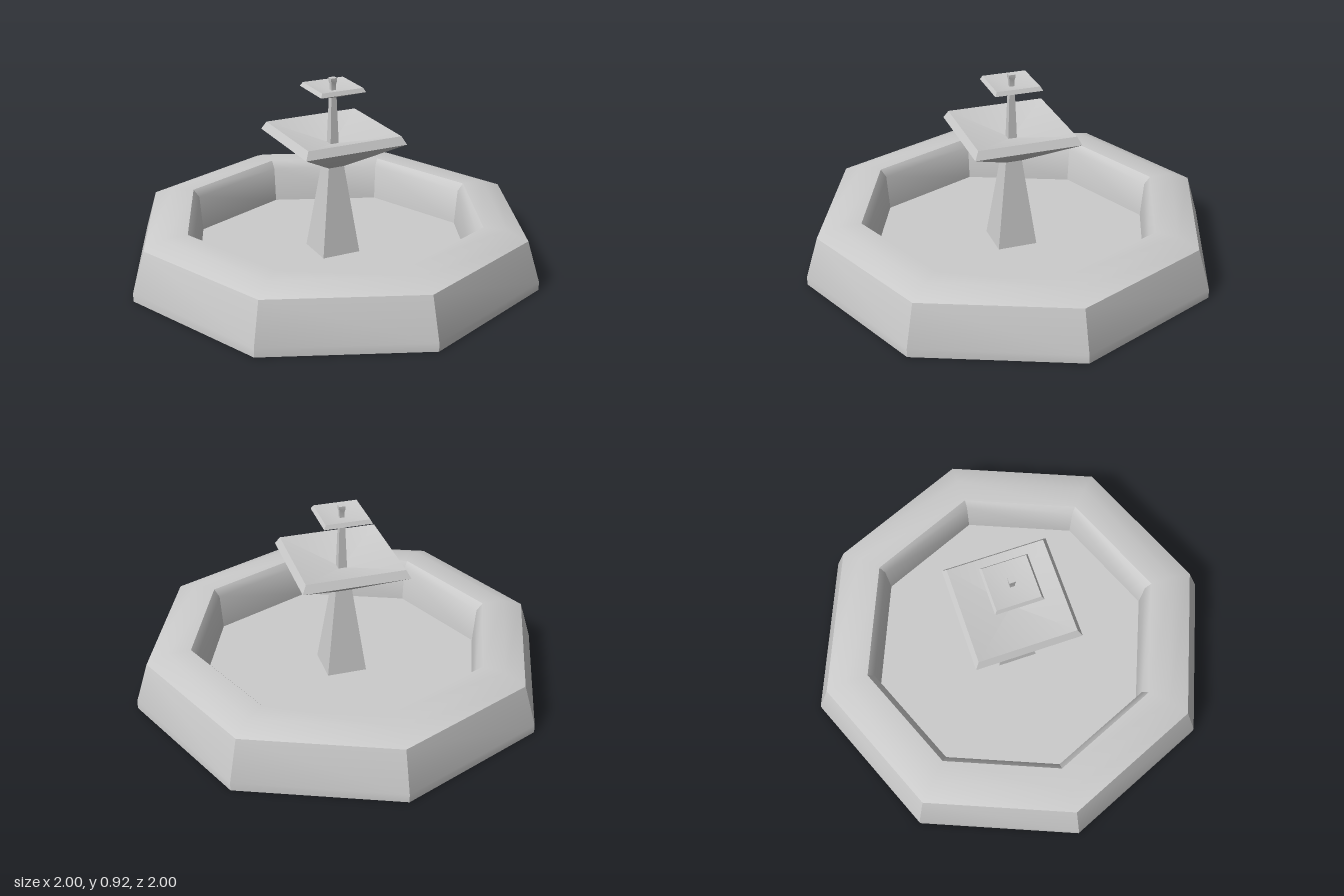
import * as THREE from 'three';
import { toCreasedNormals } from 'three/addons/utils/BufferGeometryUtils.js';

const stone = new THREE.MeshStandardMaterial({ color: 0xcccccc, side: THREE.DoubleSide });

// Turns a [radius, height] profile around the y axis with a few flat sides
function turned(name, sides, profile) {
  const points = profile.map(([r, y]) => new THREE.Vector2(r, y));
  const geometry = toCreasedNormals(new THREE.LatheGeometry(points, sides), 0.6);
  const mesh = new THREE.Mesh(geometry, stone);
  mesh.name = name;
  return mesh;
}

export function createModel() {
  const fountain = new THREE.Group();
  fountain.name = 'fountain';

  fountain.add(
    // Octagonal basin: outer wall, bevelled rim and inner wall, open underneath
    turned('basinWall', 8, [
      [1, 0], [1, 0.04], [0.94, 0.235], [0.84, 0.275],
      [0.73, 0.275], [0.7, 0.24], [0.685, 0.068],
    ]),
    turned('basinFloor', 8, [[0.685, 0.068], [0, 0.068]]),

    // Square tapering pedestal
    turned('pedestal', 4, [[0.135, 0.068], [0.056, 0.495]]),

    // Large dished bowl
    turned('lowerBowl', 4, [
      [0, 0.495], [0.056, 0.495], [0.36, 0.635], [0.332, 0.673], [0, 0.6],
    ]),

    // Slim post between the bowls
    turned('post', 4, [[0.03, 0.6], [0.019, 0.83]]),

    // Small dished bowl
    turned('upperBowl', 4, [
      [0, 0.828], [0.019, 0.828], [0.161, 0.866], [0.147, 0.885], [0, 0.86],
    ]),

    // Flared water spout
    turned('spout', 4, [
      [0.016, 0.86], [0.016, 0.89], [0.021, 0.905], [0.021, 0.92], [0, 0.92],
    ]),
  );
  return fountain;
}
